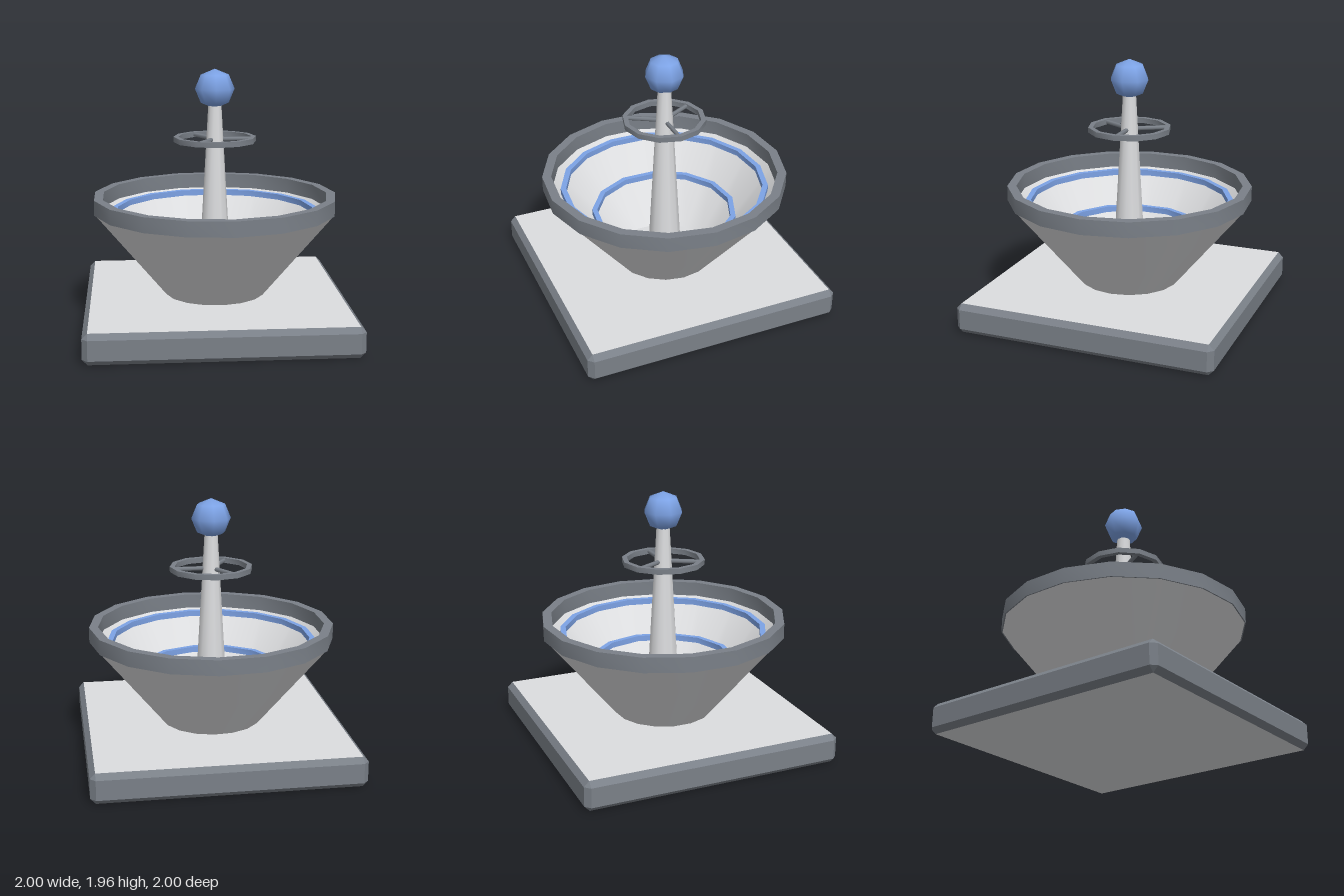
import * as THREE from 'three';
import { toCreasedNormals } from 'three/addons/utils/BufferGeometryUtils.js';
import { ConvexGeometry } from 'three/addons/geometries/ConvexGeometry.js';

export function createModel() {
  const model = new THREE.Group();
  model.name = 'fountain';

  const stone = new THREE.MeshStandardMaterial({ color: 0xdcdddf });
  stone.name = 'pale stone';
  stone.side = THREE.DoubleSide;
  const slate = new THREE.MeshStandardMaterial({ color: 0x7a8088 });
  slate.name = 'slate';
  const blue = new THREE.MeshStandardMaterial({ color: 0x7da3e6 });
  blue.name = 'blue';

  function add(name, geometry, material, parent = model) {
    const mesh = new THREE.Mesh(geometry, material);
    mesh.name = name;
    parent.add(mesh);
    return mesh;
  }

  // Square-section ring with a corner on +x
  function band(outer, inner, y0, y1, sides) {
    const profile = [[outer, y0], [outer, y1], [inner, y1], [inner, y0], [outer, y0]]
      .map(([r, y]) => new THREE.Vector2(r, y));
    return toCreasedNormals(new THREE.LatheGeometry(profile, sides, Math.PI / 2), Math.PI / 5);
  }

  // Plinth: a box with every edge chamfered, pale on top and underneath
  const half = 1, height = 0.23, c = 0.04;
  const points = [];
  for (const sx of [-1, 1]) for (const sz of [-1, 1]) for (const top of [0, 1]) {
    const yFace = top ? height : 0, yEdge = top ? height - c : c;
    points.push(
      new THREE.Vector3(sx * (half - c), yFace, sz * (half - c)),
      new THREE.Vector3(sx * half, yEdge, sz * (half - c)),
      new THREE.Vector3(sx * (half - c), yEdge, sz * half));
  }
  const plinth = new ConvexGeometry(points);
  const normals = plinth.getAttribute('normal');
  for (let i = 0; i < normals.count; i += 3) {
    plinth.addGroup(i, 3, Math.abs(normals.getY(i)) > 0.95 ? 1 : 0);
  }
  add('plinth', plinth, [slate, stone]);

  // Bowl: thin open cone with a heavy rim
  const bowl = new THREE.CylinderGeometry(0.93, 0.385, 0.66, 17, 1, true, Math.PI / 2);
  bowl.translate(0, 0.23 + 0.33, 0);
  add('bowl', bowl, stone);
  add('bowlRim', band(0.935, 0.866, 0.885, 1.0, 17), slate);

  // Blue hoops inside the bowl
  add('upperHoop', band(0.8, 0.758, 0.84, 0.885, 17), blue);
  add('lowerHoop', band(0.565, 0.525, 0.6, 0.645, 13), blue);

  // Tapered post and ball
  const post = new THREE.CylinderGeometry(0.05, 0.135, 1.47, 11, 1, false, Math.PI / 2);
  post.translate(0, 0.23 + 0.735, 0);
  add('post', post, stone);
  add('ball', new THREE.SphereGeometry(0.15, 8, 4), blue).position.y = 1.813;

  // Wheel around the post
  const wheel = new THREE.Group();
  wheel.name = 'wheel';
  model.add(wheel);
  add('wheelRing', band(0.315, 0.277, 1.41, 1.45, 12), slate, wheel);
  for (let i = 0; i < 3; i++) {
    const spoke = new THREE.CylinderGeometry(0.017, 0.017, 0.26, 6);
    spoke.rotateZ(Math.PI / 2);
    spoke.translate(0.16, 1.43, 0);
    spoke.rotateY(i * Math.PI * 2 / 3);
    add('spoke', spoke, slate, wheel);
  }
  return model;
}
